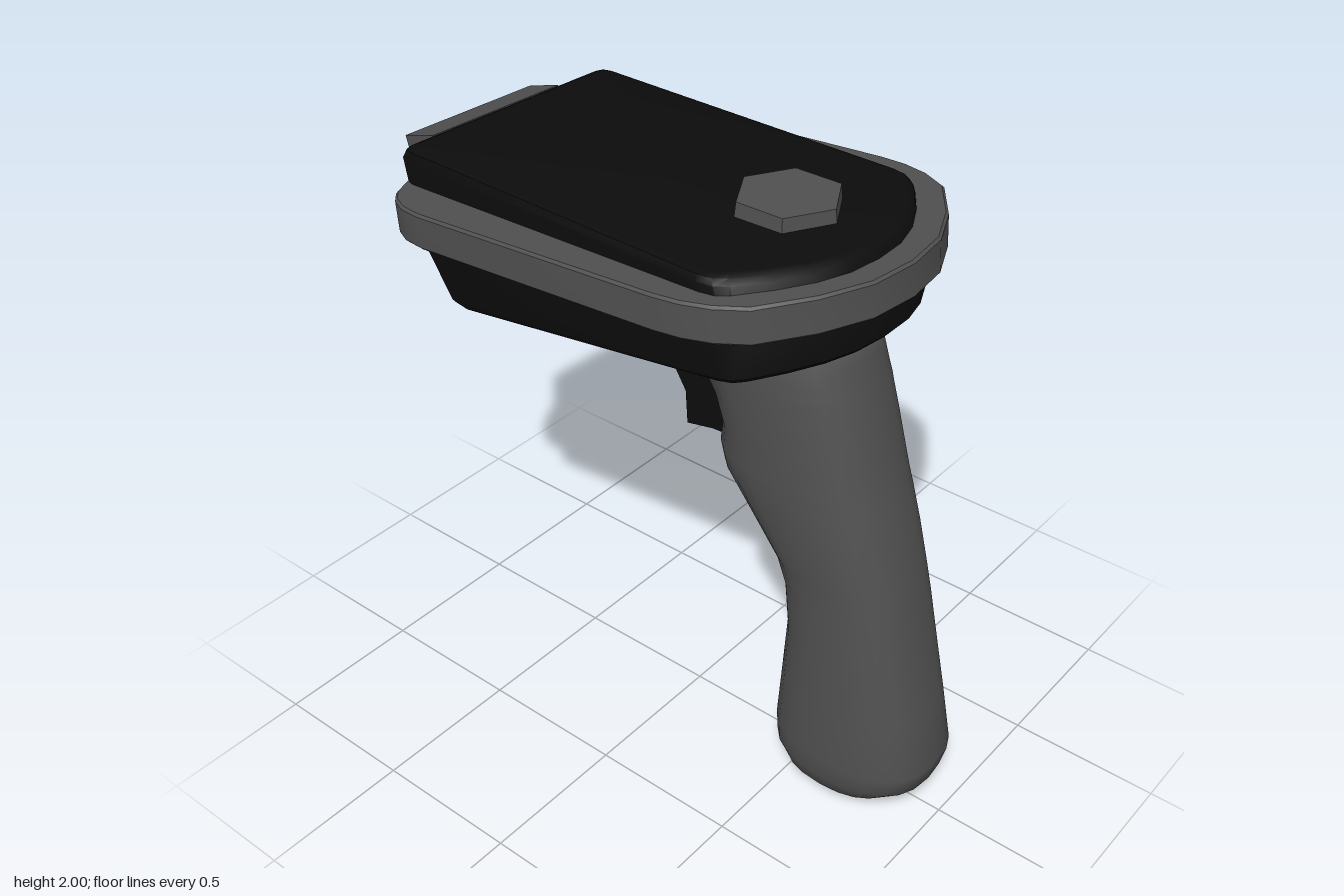
import * as THREE from 'three';
import { toCreasedNormals } from 'three/addons/utils/BufferGeometryUtils.js';

const { lerp } = THREE.MathUtils;

// Closed skin over rings of [x, y, z] points, ordered from bottom to top
function loft(rings) {
  const n = rings[0].length;
  const pos = rings.flat(2);
  const index = [];
  for (let i = 0; i < rings.length - 1; i++) {
    for (let j = 0; j < n; j++) {
      const a = i * n + j, b = i * n + (j + 1) % n;
      index.push(a, b, b + n, a, b + n, a + n);
    }
  }
  const cap = (ring, start, up) => {
    const c = pos.length / 3;
    for (let k = 0; k < 3; k++) pos.push(ring.reduce((s, p) => s + p[k], 0) / n);
    for (let j = 0; j < n; j++) {
      const a = start + j, b = start + (j + 1) % n;
      if (up) index.push(c, a, b);
      else index.push(c, b, a);
    }
  };
  cap(rings[0], 0, false);
  cap(rings[rings.length - 1], (rings.length - 1) * n, true);
  const g = new THREE.BufferGeometry();
  g.setAttribute('position', new THREE.Float32BufferAttribute(pos, 3));
  g.setIndex(index);
  g.computeVertexNormals();
  return g;
}

// Mirror a half outline (front tip to back) across x = 0
const mirrored = half => [
  ...half,
  ...half.slice(1).reverse().map(([x, z]) => [-x, z]),
];

export function createModel() {
  const model = new THREE.Group();
  model.name = 'handheldScanner';
  const material = (name, color) => {
    const m = new THREE.MeshStandardMaterial({ color });
    m.name = name;
    return m;
  };
  const grey = material('grey plastic', 0x505050);
  const black = material('black plastic', 0x0c0c0c);
  const red = material('red window', 0xb50c1e);
  const add = (parent, name, geometry, mat) => {
    const mesh = new THREE.Mesh(geometry, mat);
    mesh.name = name;
    parent.add(mesh);
    return mesh;
  };

  // Upper housing, turned slightly on the rim
  const head = new THREE.Group();
  head.name = 'head';
  head.rotation.y = -0.055;
  model.add(head);

  const outline = mirrored([
    [0, 0.64], [0.11, 0.63], [0.21, 0.595], [0.31, 0.535], [0.4, 0.465], [0.428, 0.43],
    [0.436, 0.38], [0.436, -0.79], [0.427, -0.82], [0.4, -0.83],
  ]);
  // level: height fraction, inset, back z, front z
  const levels = [
    [0, 0.04, -0.62, 0.69], [0.03, 0.015, -0.635, 0.70], [0.08, 0, -0.655, 0.70],
    [0.45, 0, -0.78, 0.70], [0.93, 0, -0.83, 0.65], [0.98, 0.01, -0.83, 0.645],
    [1, 0.03, -0.825, 0.64],
  ];
  const housing = loft(levels.map(([t, inset, back, front]) => outline.map(([x, z0]) => {
    const z = lerp(back + inset, front - inset, (z0 + 0.83) / 1.47);
    const bottom = 1.44 + (z + 0.62) * 0.185;
    const top = 1.94 + (z + 0.82) * 0.014;
    return [x * (1 - inset / 0.436) - 0.005, lerp(bottom, top, t), z];
  })));
  add(head, 'housing', toCreasedNormals(housing, 0.6), black);

  // Scan window at the back, leaning outward
  const scanner = new THREE.Group();
  scanner.name = 'scanWindow';
  scanner.position.set(-0.042, 1.755, -0.85);
  scanner.rotation.x = -0.285;
  head.add(scanner);
  add(scanner, 'windowFrame', new THREE.BoxGeometry(0.53, 0.32, 0.14), grey);
  add(scanner, 'windowPane', new THREE.BoxGeometry(0.42, 0.235, 0.008), red)
    .position.z = -0.07;

  // Bumper rim: a tilted slab around the housing
  const rimShape = new THREE.Shape(mirrored([
    [0, 0.75], [0.16, 0.73], [0.31, 0.66], [0.46, 0.55], [0.51, 0.46], [0.535, 0.37],
    [0.543, 0.28], [0.543, -0.62], [0.53, -0.7], [0.5, -0.76], [0.46, -0.8],
    [0.4, -0.83], [0.27, -0.865],
  ]).map(([x, z]) => new THREE.Vector2(x, -z)));
  const rimGeometry = new THREE.ExtrudeGeometry(rimShape, {
    depth: 0.099, bevelThickness: 0.008, bevelSize: 0.008, bevelOffset: -0.008, bevelSegments: 1,
  });
  rimGeometry.rotateX(-Math.PI / 2);
  const rim = add(model, 'rim', toCreasedNormals(rimGeometry, 0.5), grey);
  rim.position.y = 1.775;
  rim.rotation.x = -0.066;

  // Hexagonal button on top
  add(model, 'button', new THREE.CylinderGeometry(0.16, 0.168, 0.07, 6).toNonIndexed(), grey)
    .position.set(0, 1.965, 0.32);
  const button = model.getObjectByName('button').geometry;
  button.computeVertexNormals();

  // Grip: egg-shaped sections [y, front z, back z, half width]
  const sections = [
    [0.005, 0.72, 0.53, 0.1], [0.02, 0.8, 0.49, 0.155], [0.06, 0.88, 0.44, 0.195],
    [0.12, 0.95, 0.405, 0.217], [0.2, 0.97, 0.4, 0.223], [0.4, 0.93, 0.415, 0.214],
    [0.6, 0.885, 0.43, 0.207], [0.77, 0.85, 0.41, 0.2], [0.86, 0.828, 0.375, 0.202],
    [1.0, 0.79, 0.27, 0.215], [1.12, 0.755, 0.165, 0.219], [1.18, 0.735, 0.15, 0.22],
    [1.26, 0.712, 0.163, 0.22], [1.37, 0.682, 0.125, 0.22], [1.44, 0.662, 0.07, 0.219],
    [1.475, 0.653, -0.03, 0.218], [1.49, 0.648, -0.14, 0.217], [1.52, 0.638, -0.17, 0.216],
    [1.58, 0.62, -0.17, 0.213], [1.66, 0.595, -0.1, 0.19],
  ];
  const sides = 24;
  const power = (v, p) => Math.sign(v) * Math.abs(v) ** p;
  const grip = loft(sections.map(([y, front, back, w]) => {
    const middle = front - Math.min(0.28, (front - back) / 2);
    return Array.from({ length: sides }, (_, j) => {
      const a = j / sides * Math.PI * 2;
      const c = Math.cos(a);
      const reach = c > 0 ? front - middle : middle - back;
      return [w * power(Math.sin(a), 0.8), y, middle + reach * power(c, 0.85)];
    });
  }));
  add(model, 'grip', grip, grey);

  // Trigger: chamfered side profile, [z, y]
  const triggerShape = new THREE.Shape([
    [0.22, 1.16], [0.14, 1.155], [0.01, 1.13], [0, 1.27], [-0.065, 1.38],
    [0.075, 1.44], [0.22, 1.42],
  ].map(([z, y]) => new THREE.Vector2(-z, y)));
  const trigger = new THREE.ExtrudeGeometry(triggerShape, {
    depth: 0.12, bevelThickness: 0.045, bevelSize: 0.03, bevelOffset: -0.03, bevelSegments: 1,
  });
  trigger.translate(0, 0, -0.06);
  trigger.rotateY(Math.PI / 2);
  add(model, 'trigger', trigger, black);

  return model;
}
